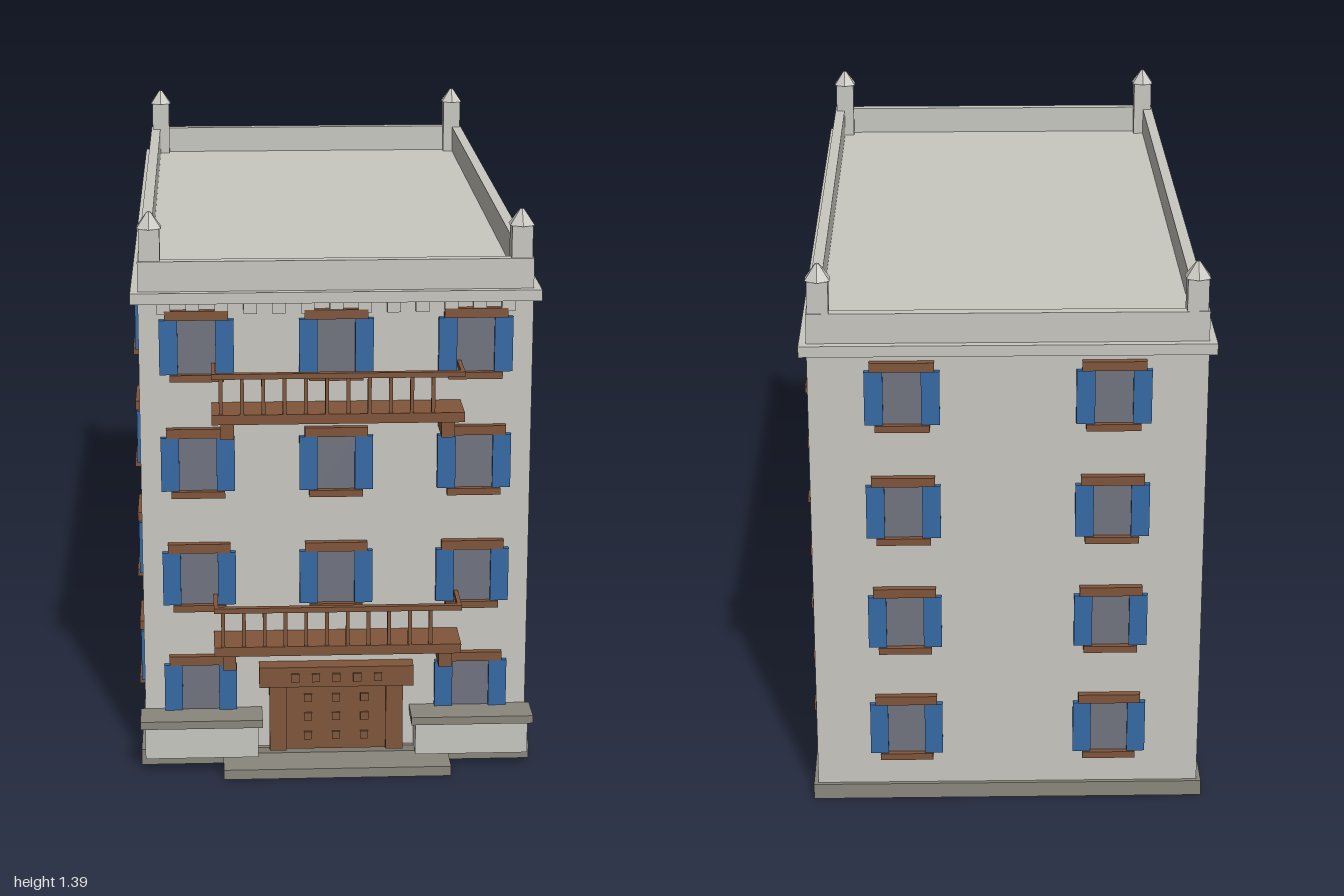
import * as THREE from 'three';

const mat = (name, color) => new THREE.MeshStandardMaterial({ name, color });

export function createModel() {
  const wall = mat('pale stone', 0xc8c7c0);
  const stone = mat('dark stone', 0x8a877d);
  const wood = mat('brown wood', 0x80553a);
  const blue = mat('blue shutter', 0x3469a5);
  const glass = mat('grey glass', 0x70737f);

  const model = new THREE.Group();
  model.name = 'building';

  // Box given by its minimum and maximum on each axis
  function box(parent, name, m, x0, x1, y0, y1, z0, z1) {
    const mesh = new THREE.Mesh(new THREE.BoxGeometry(x1 - x0, y1 - y0, z1 - z0), m);
    mesh.position.set((x0 + x1) / 2, (y0 + y1) / 2, (z0 + z1) / 2);
    mesh.name = name;
    parent.add(mesh);
    return mesh;
  }
  function group(name) {
    const g = new THREE.Group();
    g.name = name;
    model.add(g);
    return g;
  }

  const W = 0.472, F = 0.888, B = -0.976; // half width, front and back walls

  // Main block, plinth, front step and cornice
  box(model, 'plinth', stone, -0.483, 0.483, 0, 0.04, -0.986, 0.9);
  box(model, 'walls', wall, -W, W, 0.04, 1.2, B, F);
  box(model, 'frontStep', stone, -0.28, 0.28, 0, 0.025, 0.9, 1);
  box(model, 'cornice', wall, -0.49, 0.49, 1.18, 1.207, -0.996, 0.906);

  // Parapet around the flat roof
  const parapet = group('parapet');
  const t = 0.027;
  box(parapet, 'parapetFront', wall, -W, W, 1.207, 1.28, F - t, F);
  box(parapet, 'parapetBack', wall, -W, W, 1.207, 1.28, B, B + t);
  for (const s of [-1, 1]) {
    const x = s * (W - t / 2);
    box(parapet, 'parapetSide', wall, x - t / 2, x + t / 2, 1.207, 1.28, B + t, F - t);
  }

  // Corner posts with pointed caps
  for (const x of [-0.443, 0.443]) for (const z of [-0.948, 0.858]) {
    const post = group('cornerPost');
    box(post, 'post', wall, x - 0.025, x + 0.025, 1.207, 1.357, z - 0.025, z + 0.025);
    const cap = new THREE.Mesh(new THREE.CylinderGeometry(0.005, 0.034, 0.038, 6).toNonIndexed(), wall);
    cap.geometry.computeVertexNormals();
    cap.position.set(x, 1.376, z);
    cap.name = 'postCap';
    post.add(cap);
  }

  // Row of blocks below the front cornice
  const dentils = group('dentils');
  for (let i = -6; i <= 6; i++) {
    const x = i * 0.0685;
    box(dentils, 'dentil', wall, x - 0.016, x + 0.016, 1.155, 1.18, F, F + 0.015);
  }

  // A window faces +z in its own frame, centred on its glass
  function addWindow(x, y, z, turn) {
    const w = group('window');
    w.position.set(x, y, z);
    w.rotation.y = turn;
    box(w, 'pane', glass, -0.045, 0.045, -0.067, 0.067, 0, 0.006);
    for (const s of [-1, 1])
      box(w, 'shutter', blue, s * 0.067 - 0.022, s * 0.067 + 0.022, -0.067, 0.067, 0, 0.014);
    box(w, 'lintel', wood, -0.076, 0.076, 0.067, 0.09, 0, 0.017);
    box(w, 'sill', wood, -0.065, 0.065, -0.084, -0.067, 0, 0.02);
  }
  for (let row = 0; row < 4; row++) {
    const y = 0.197 + row * 0.292;
    for (const x of [-0.334, 0, 0.334])
      if (row > 0 || x !== 0) addWindow(x, y, F, 0);
    for (const x of [-0.25, 0.25]) addWindow(x, y, B, Math.PI);
    for (const z of [-0.668, -0.045, 0.576]) {
      addWindow(W, y, z, Math.PI / 2);
      addWindow(-W, y, z, -Math.PI / 2);
    }
  }

  // Entrance with studded lintel and door
  const door = group('entrance');
  box(door, 'doorLeaf', wood, -0.123, 0.123, 0.04, 0.213, F, 0.91);
  for (const s of [-1, 1])
    box(door, 'doorJamb', wood, s * 0.144 - 0.021, s * 0.144 + 0.021, 0.04, 0.213, F, 0.92);
  box(door, 'doorLintel', wood, -0.19, 0.19, 0.213, 0.265, F, 0.932);
  for (let i = -2; i <= 2; i++)
    box(door, 'lintelStud', wood, i * 0.051 - 0.01, i * 0.051 + 0.01, 0.228, 0.249, 0.932, 0.938);
  for (let i = -1; i <= 1; i++) for (let j = -1; j <= 1; j++) {
    const x = i * 0.07, y = 0.127 + j * 0.05;
    box(door, 'doorStud', wood, x - 0.01, x + 0.01, y - 0.01, y + 0.01, 0.91, 0.916);
  }

  // Low walls with coping on both sides of the entrance
  for (const s of [-1, 1]) {
    const g = group('lowWall');
    const x = s * 0.333;
    box(g, 'lowWallBody', wall, x - 0.139, x + 0.139, 0.04, 0.125, F, 0.957);
    box(g, 'lowWallCoping', stone, x - 0.15, x + 0.15, 0.125, 0.145, F, 0.975);
  }

  // Balconies: slab, brackets, balusters and rails
  for (const y of [0.323, 0.909]) {
    const g = group('balcony');
    box(g, 'balconySlab', wood, -0.3, 0.3, y, y + 0.024, F, 1);
    for (const s of [-1, 1]) {
      box(g, 'bracket', wood, s * 0.263 - 0.016, s * 0.263 + 0.016, y - 0.043, y, F, 0.98);
      box(g, 'sideRail', wood, s * 0.295 - 0.005, s * 0.295 + 0.005, y + 0.111, y + 0.124, F, 0.985);
    }
    box(g, 'frontRail', wood, -0.3, 0.3, y + 0.111, y + 0.124, 0.985, 1);
    for (let i = 0; i < 11; i++) {
      const x = -0.278 + i * 0.0503;
      box(g, 'baluster', wood, x - 0.0045, x + 0.0045, y + 0.024, y + 0.111, 0.988, 0.997);
    }
  }
  return model;
}
